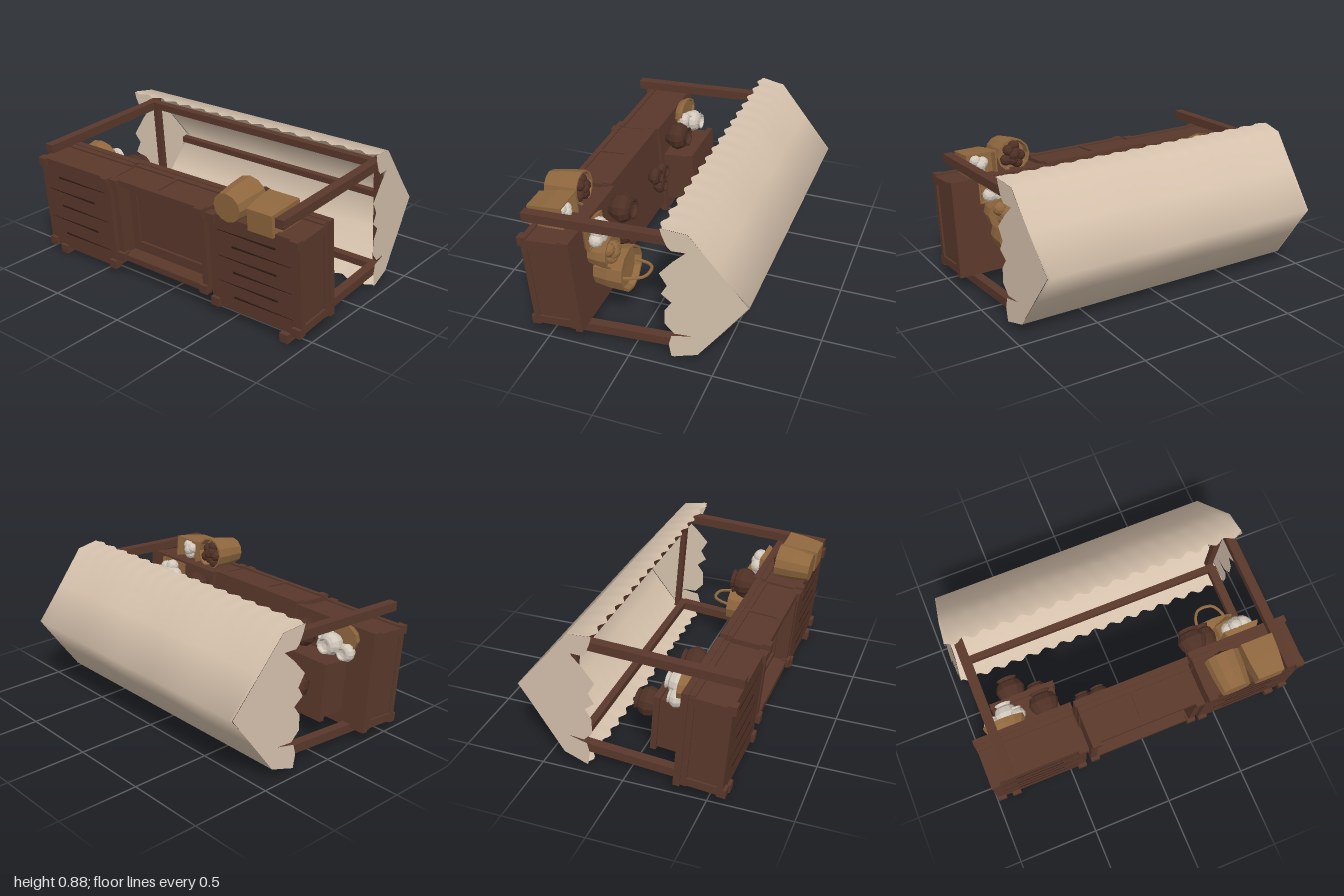
import * as THREE from 'three';

const mat = (name, color, extra = {}) => {
  const m = new THREE.MeshStandardMaterial({ color, flatShading: true, ...extra });
  m.name = name;
  return m;
};

export function createModel() {
  const wood = mat('brown wood', 0x5a382b);
  const gap = mat('dark gaps', 0x2f1c14);
  const clay = mat('dark clay', 0x4e3025);
  const wicker = mat('tan wicker', 0x8f673e, { side: THREE.DoubleSide });
  const white = mat('pale glaze', 0xd2c8bc);
  const cloth = mat('beige cloth', 0xd5c1ac, { side: THREE.DoubleSide, flatShading: false });

  // The stall is built upright here, then tipped onto its back.
  const stall = new THREE.Group();
  stall.name = 'marketStall';

  const add = (name, geo, m, x = 0, y = 0, z = 0, parent = stall) => {
    const mesh = new THREE.Mesh(geo, m);
    mesh.name = name;
    mesh.position.set(x, y, z);
    parent.add(mesh);
    return mesh;
  };
  const box = (name, m, x0, x1, y0, y1, z0, z1, parent = stall) =>
    add(name, new THREE.BoxGeometry(x1 - x0, y1 - y0, z1 - z0), m,
      (x0 + x1) / 2, (y0 + y1) / 2, (z0 + z1) / 2, parent);

  // Posts (the front pair lean back a little) and roof beams
  const post = (name, x, z0, lean) => {
    const geo = new THREE.BoxGeometry(0.056, 0.93, 0.055).translate(0, 0.465, 0);
    const p = geo.attributes.position;
    for (let i = 0; i < p.count; i++) p.setZ(i, p.getZ(i) - p.getY(i) * lean);
    geo.computeVertexNormals();
    add(name, geo, wood, x, 0, z0 + 0.0275);
  };
  for (const x of [-0.87, 0.88]) {
    post('backPost', x, 0, 0.01);
    post('frontPost', x, 0.712, 0.036);
    box('sideBeam', wood, x - 0.022, x + 0.022, 0.955, 0.99, 0.0, 0.74);
  }
  box('frontBeam', wood, -0.9, 0.9, 0.91, 0.955, 0.69, 0.735);
  box('backBeam', wood, -0.9, 0.9, 0.91, 0.955, 0, 0.045);
  box('ridgeBeam', wood, -0.88, 0.88, 1.21, 1.25, 0.32, 0.36);

  // Canopy: rows of [height, depth, half width], scalloped at both hems
  const rows = [
    [0.863, 0.808, 0.945], [1.0, 0.778, 0.93], [1.145, 0.562, 0.92], [1.306, 0.338, 0.908],
    [1.14, 0.15, 0.92], [0.99, -0.026, 0.93], [0.85, -0.055, 0.945],
  ];
  const cols = 96, pos = [], idx = [];
  rows.forEach(([y, z, w], r) => {
    const hem = r === 0 || r === 6;
    for (let i = 0; i <= cols; i++) {
      const t = i / cols;
      const scallop = hem ? -0.028 * Math.sin(t * Math.PI * 16) ** 2 : 0;
      const sag = r === 2 || r === 4 ? -0.012 * Math.sin(t * Math.PI) + 0.006 * Math.sin(t * 17 + r) : 0;
      pos.push((t * 2 - 1) * w - 0.005, y + scallop + sag, z);
    }
  });
  for (let r = 0; r < rows.length - 1; r++) for (let i = 0; i < cols; i++) {
    const a = r * (cols + 1) + i, b = a + cols + 1;
    idx.push(a, a + 1, b, a + 1, b + 1, b);
  }
  const roof = new THREE.BufferGeometry();
  roof.setAttribute('position', new THREE.Float32BufferAttribute(pos, 3));
  roof.setIndex(idx);
  roof.computeVertexNormals();
  add('canopyRoof', roof, cloth);

  // Gable cloths with a ragged lower edge, as [depth, height]
  const gable = new THREE.Shape([
    [0.338, 1.302], [0.778, 1.0], [0.808, 0.85], [0.758, 0.859], [0.696, 0.879], [0.669, 0.901],
    [0.662, 0.981], [0.603, 0.906], [0.516, 0.818], [0.437, 0.855], [0.38, 0.816], [0.325, 0.871],
    [0.269, 0.826], [0.174, 0.818], [0.11, 0.868], [0.104, 0.968], [0.091, 0.848], [0.028, 0.827],
    [-0.057, 0.835], [-0.026, 0.99],
  ].map(([z, y]) => new THREE.Vector2(-z, y)));
  for (const s of [-1, 1]) {
    const g = new THREE.ShapeGeometry(gable);
    g.rotateY(Math.PI / 2);
    const p = g.attributes.position;
    for (let i = 0; i < p.count; i++) p.setX(i, s * (0.908 + (1.3 - p.getY(i)) * 0.08) - 0.005);
    g.computeVertexNormals();
    add('canopyGable', g, cloth);
  }

  // Counters: walls, top board, corner feet and panel frames
  function counter(name, x0, x1, z0, z1, top, floorY, planks) {
    const g = new THREE.Group();
    g.name = name;
    stall.add(g);
    const a = x0 + 0.02, b = x1 - 0.02, c = z0 + 0.015, d = z1 - 0.015, t = 0.03, u = top - 0.04;
    box('frontPanel', wood, a, b, 0.02, u, d - t, d, g);
    box('backPanel', wood, a, b, 0.02, u, c, c + t, g);
    for (const x of [a, b - t]) box('endPanel', wood, x, x + t, 0.02, u, c, d, g);
    box('floor', wood, a, b, floorY, floorY + 0.02, c, d, g);
    box('topBoard', wood, x0, x1, u, top, z0, z1, g);
    for (const x of [a - 0.012, b - 0.043]) for (const z of [c - 0.012, d - 0.043])
      box('foot', wood, x, x + 0.055, 0, 0.05, z, z + 0.055, g);
    for (const y of [0.02, u - 0.035]) {
      box('frontRail', wood, a - 0.008, b + 0.008, y, y + 0.035, d, d + 0.01, g);
      box('backRail', wood, a - 0.008, b + 0.008, y, y + 0.035, c - 0.01, c, g);
      for (const x of [a - 0.012, b]) box('endRail', wood, x, x + 0.012, y, y + 0.035, c, d, g);
    }
    for (const x of [a - 0.012, b]) for (const z of [c, d - 0.05])
      box('endStile', wood, x, x + 0.012, 0.02, u, z, z + 0.05, g);
    // Worn, tapering gaps between the boards underneath
    for (let i = 1; i <= planks; i++) {
      const z = c + (d - c) * i / (planks + 1), side = i % 2 ? 1 : -1;
      const slit = add('plankGap', new THREE.CylinderGeometry(0.009, 0.002, 0.4, 4), gap,
        (a + b) / 2 + side * 0.05, floorY, z, g);
      slit.rotation.z = side * Math.PI / 2;
      slit.scale.set(0.3, 1, 0.8);
    }
    return g;
  }
  counter('leftSideCounter', -1, -0.39, 0.03, 0.655, 0.305, 0.02, 5);
  const mid = counter('middleCounter', -0.375, 0.35, 0.11, 0.668, 0.3, 0.11, 0);
  counter('rightSideCounter', 0.365, 1, 0.06, 0.663, 0.322, 0.02, 6);
  box('frontDivider', wood, -0.045, -0.025, 0.05, 0.25, 0.648, 0.663, mid);
  box('underTrim', wood, -0.28, 0.26, 0.095, 0.11, 0.2, 0.23, mid);
  box('underTrim', wood, -0.28, 0.26, 0.095, 0.11, 0.56, 0.59, mid);
  for (const x of [-0.28, 0.235]) box('underTrim', wood, x, x + 0.025, 0.095, 0.11, 0.2, 0.59, mid);

  // Raised display box
  box('displayBox', wood, -0.82, -0.44, 0.3, 0.48, 0.11, 0.44);
  box('displayBoxLid', wood, -0.835, -0.425, 0.475, 0.51, 0.095, 0.455);

  // Turned pots
  const potProfile = [[0, 0], [0.55, 0], [0.9, 0.3], [1, 0.55], [0.82, 0.8], [0.55, 0.88],
    [0.72, 1], [0.58, 1], [0.45, 0.86], [0, 0.8]];
  const pot = (x, y, z, r, h, m = clay) => add('pot',
    new THREE.LatheGeometry(potProfile.map(([a, b]) => new THREE.Vector2(a * r, b * h)), 12), m, x, y, z);
  [[-0.68, 0.51, 0.295, 0.09, 0.15], [-0.53, 0.51, 0.3, 0.065, 0.055], [-0.53, 0.305, 0.54, 0.09, 0.15],
    [-0.29, 0.3, 0.4, 0.06, 0.08], [-0.19, 0.3, 0.42, 0.06, 0.08], [-0.25, 0.3, 0.32, 0.055, 0.075],
    [0.44, 0.322, 0.57, 0.09, 0.15], [0.55, 0.322, 0.46, 0.065, 0.17]].forEach((p) => pot(...p));
  pot(-0.76, 0.325, 0.54, 0.07, 0.14, white);
  pot(-0.86, 0.325, 0.51, 0.055, 0.09, white);
  pot(-0.7, 0.325, 0.57, 0.05, 0.085, white);

  // Open baskets, round (12 sides) or square (4 sides)
  function basket(name, x, y, z, rx, rz, h, sides) {
    const k = sides === 4 ? Math.SQRT2 : 1;
    const prof = [[0, 0], [0.82, 0], [0.95, 0.5], [1, 1], [0.9, 1], [0.85, 0.8], [0, 0.78]]
      .map(([a, b]) => new THREE.Vector2(a * k, b * h));
    const geo = new THREE.LatheGeometry(prof, sides, sides === 4 ? Math.PI / 4 : 0);
    geo.scale(rx, 1, rz);
    return add(name, geo, wicker, x, y, z);
  }
  const pile = (name, m, x, y, z, rx, rz, r, n) => {
    for (let i = 0; i < n; i++) {
      const a = i * 2.4, d = Math.sqrt(i / n);
      add(name, new THREE.IcosahedronGeometry(r, 1), m,
        x + Math.cos(a) * d * rx, y + 0.02 * (1 - d), z + Math.sin(a) * d * rz);
    }
  };
  basket('shallowBowl', -0.79, 0.305, 0.585, 0.13, 0.09, 0.055, 12);
  basket('roundFloorBasket', 0.53, 0, 0.733, 0.11, 0.105, 0.215, 12);
  pile('produce', clay, 0.53, 0.19, 0.733, 0.07, 0.065, 0.036, 8);
  basket('squareFloorBasket', 0.75, 0, 0.705, 0.1, 0.08, 0.225, 4);
  pile('paleProduce', white, 0.75, 0.18, 0.705, 0.05, 0.04, 0.036, 4);
  basket('frontCrate', 0.73, 0.322, 0.585, 0.11, 0.075, 0.035, 4);
  pile('paleProduce', white, 0.73, 0.377, 0.585, 0.085, 0.05, 0.043, 8);
  basket('middleCrate', 0.72, 0.322, 0.45, 0.11, 0.1, 0.12, 12);
  pile('sackFill', wicker, 0.72, 0.422, 0.45, 0.06, 0.05, 0.045, 5);
  basket('handleBasket', 0.65, 0.322, 0.3, 0.155, 0.135, 0.19, 12);
  const handle = new THREE.CatmullRomCurve3([[-0.1, 0], [-0.08, 0.08], [-0.045, 0.12],
    [0.045, 0.115], [0.08, 0.07], [0.1, 0]].map(([x, y]) => new THREE.Vector3(x, y, 0)));
  add('basketHandle', new THREE.TubeGeometry(handle, 16, 0.01, 6), wicker, 0.66, 0.505, 0.3);

  // Tip the stall onto its back
  stall.rotation.x = -THREE.MathUtils.degToRad(85);
  stall.position.set(0, 0, 0.6);
  const model = new THREE.Group();
  model.name = 'model';
  model.add(stall);
  return model;
}
